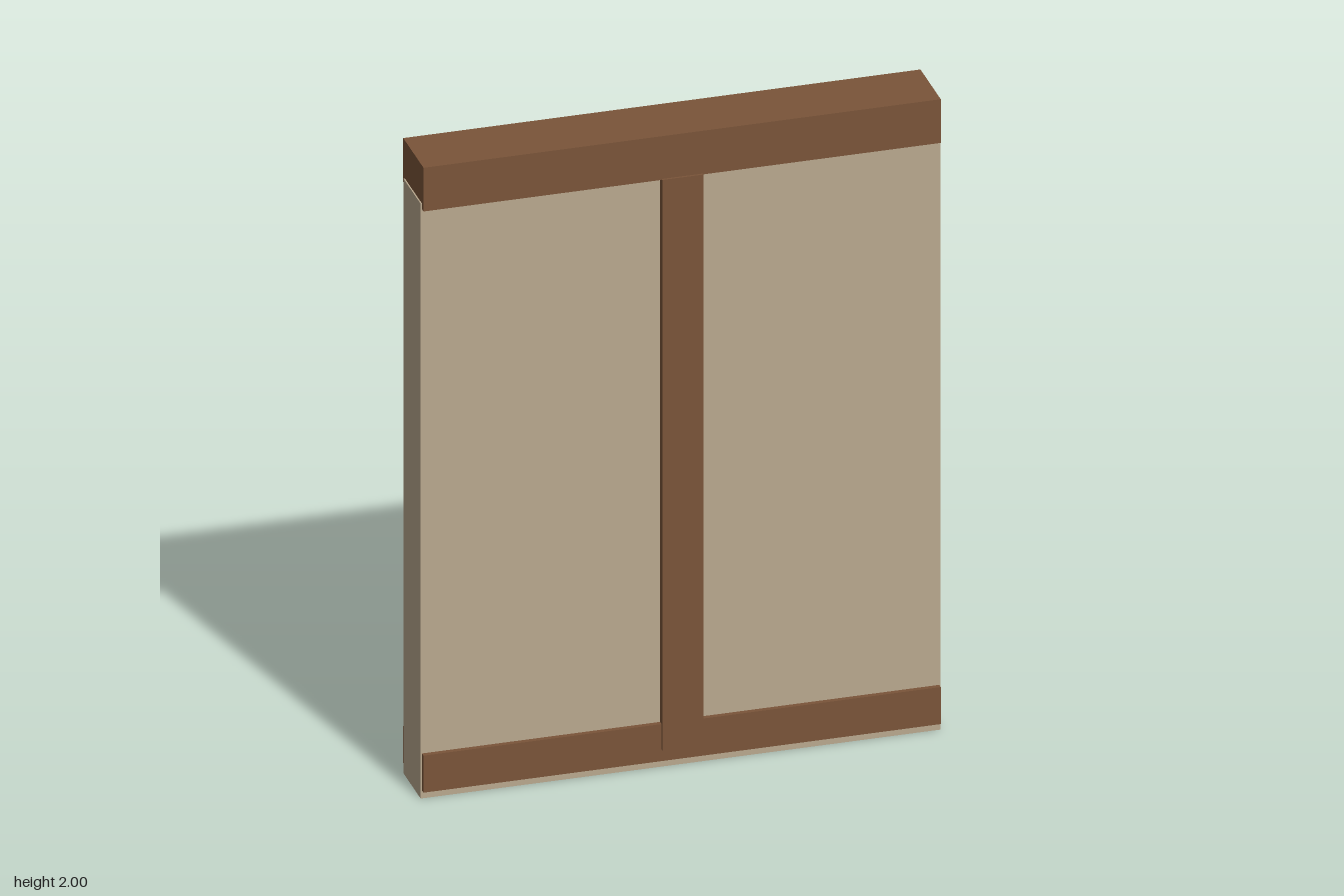
import * as THREE from 'three';

export function createModel() {
  const plaster = new THREE.MeshStandardMaterial({ color: 0xbaa98f });
  plaster.name = 'plaster';
  const timber = new THREE.MeshStandardMaterial({ color: 0x7a5439 });
  timber.name = 'timber';

  const model = new THREE.Group();
  model.name = 'timberFramedWall';

  // Box given by its width, vertical range and depth range
  function addBox(name, material, width, y0, y1, z0, z1) {
    const mesh = new THREE.Mesh(new THREE.BoxGeometry(width, y1 - y0, z1 - z0), material);
    mesh.position.set(0, (y0 + y1) / 2, (z0 + z1) / 2);
    mesh.name = name;
    model.add(mesh);
  }

  // Plaster panel and the beam capping it
  addBox('wallPanel', plaster, 1.54, 0, 1.88, -0.085, 0.085);
  addBox('topBeam', timber, 1.532, 1.862, 2, -0.1, 0.1);

  // Sill rail and centre post on each face
  for (const [side, s] of [['front', 1], ['back', -1]]) {
    const span = (a, b) => (s > 0 ? [a, b] : [-b, -a]);
    addBox(side + 'SillRail', timber, 1.532, 0.025, 0.142, ...span(0.08, 0.1));
    addBox(side + 'CentrePost', timber, 0.122, 0.062, 1.865, ...span(0.08, 0.107));
  }

  return model;
}
